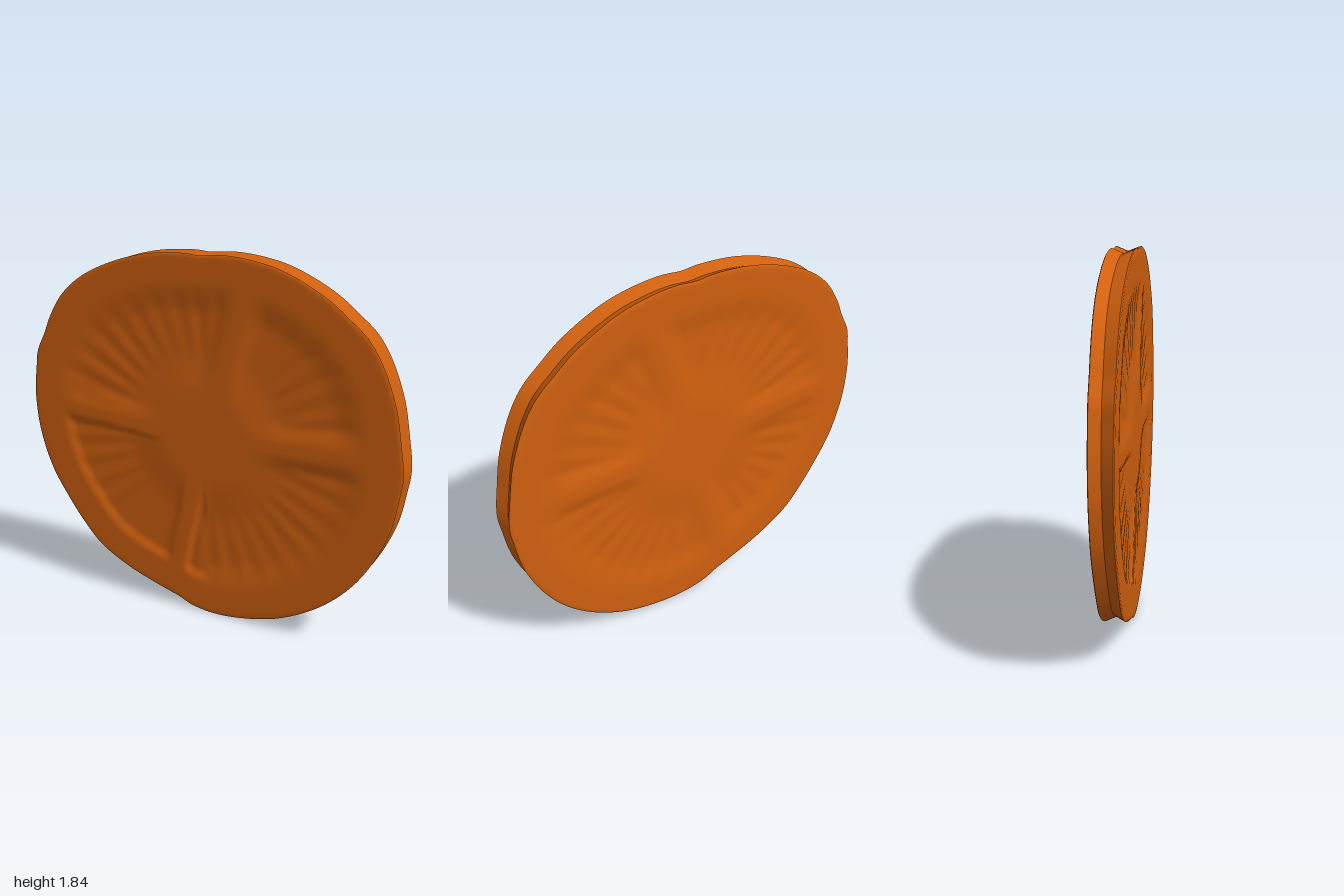
import * as THREE from 'three';

// Outline of the slice, counter-clockwise from the bottom
const OUTLINE = [
  [0.05, 0.003], [0.2, 0.015], [0.4, 0.065], [0.6, 0.17], [0.75, 0.3], [0.86, 0.45], [0.95, 0.65],
  [0.985, 0.82], [0.998, 0.93], [0.975, 1.1], [0.945, 1.25], [0.88, 1.42], [0.81, 1.53], [0.72, 1.61],
  [0.6, 1.7], [0.4, 1.795], [0.25, 1.83], [0.1, 1.842], [-0.02, 1.832], [-0.1, 1.837], [-0.3, 1.82],
  [-0.5, 1.765], [-0.68, 1.68], [-0.8, 1.58], [-0.88, 1.46], [-0.92, 1.37], [-0.97, 1.27],
  [-0.985, 1.18], [-1.0, 1.05], [-0.99, 0.88], [-0.96, 0.75], [-0.91, 0.62], [-0.83, 0.49],
  [-0.75, 0.38], [-0.63, 0.25], [-0.45, 0.15], [-0.25, 0.08], [-0.15, 0.05], [-0.08, 0.02],
];
const CENTRE = [0, 0.95];
const WALLS = [2, 74, 177, 257].map(THREE.MathUtils.degToRad); // walls between the chambers
const SEGMENTS = 200;
const RINGS = 48;
const smooth = THREE.MathUtils.smoothstep;

// Skin a series of closed cross-sections
function loft(rings) {
  const n = rings[0].length;
  const index = [];
  for (let k = 0; k < rings.length - 1; k++) {
    for (let i = 0; i < n; i++) {
      const j = (i + 1) % n;
      const a = k * n + i, b = k * n + j, c = a + n, d = b + n;
      index.push(a, b, d, a, d, c);
    }
  }
  const geometry = new THREE.BufferGeometry();
  geometry.setAttribute('position', new THREE.Float32BufferAttribute(rings.flat(2), 3));
  geometry.setIndex(index);
  geometry.computeVertexNormals();
  return geometry;
}

// Height of the flat cut surfaces, slightly tilted
const faceZ = (x, y, side) => (side > 0
  ? 0.06 + 0.005 * x + 0.008 * (y - 0.92)
  : -0.061 - 0.006 * x + 0.001 * (y - 0.92));

// Depth of the shallow seed chambers between the walls
function chamberDepth(x, y, s, side) {
  const dx = x - CENTRE[0], dy = y - CENTRE[1];
  const r = Math.hypot(dx, dy);
  const angle = Math.atan2(dy, dx);
  let wall = 1;
  for (const w of WALLS) {
    const away = Math.cos(angle - w);
    if (away > 0) wall = Math.min(wall, r * Math.abs(Math.sin(angle - w)));
  }
  const crisp = side > 0 && dx < 0 && dy < 0; // the front lower chamber has sharper edges
  const across = crisp ? smooth(wall, 0.035, 0.075) : smooth(wall, 0.02, 0.13);
  const outer = crisp ? 1 - smooth(s, 0.77, 0.82) : 1 - smooth(s, 0.68, 0.86);
  const inside = across * outer * smooth(r, 0.2, 0.45);
  const seeds = 0.002 * Math.sin(angle * 36) * smooth(r, 0.35, 0.6);
  return inside * (0.015 + seeds);
}

export function createModel() {
  const group = new THREE.Group();
  group.name = 'slice';
  const flesh = new THREE.MeshStandardMaterial({ color: 0xd0600f });
  flesh.name = 'orange flesh';

  const curve = new THREE.CatmullRomCurve3(OUTLINE.map(([x, y]) => new THREE.Vector3(x, y, 0)), true);
  const edge = curve.getPoints(SEGMENTS).slice(0, SEGMENTS);

  // One scaled copy of the outline, with z given by a rule
  const ring = (s, z) => edge.map((p) => {
    const x = CENTRE[0] + (p.x - CENTRE[0]) * s;
    const y = CENTRE[1] + (p.y - CENTRE[1]) * s;
    return [x, y, z(x, y)];
  });
  const add = (name, rings) => {
    const mesh = new THREE.Mesh(loft(rings), flesh);
    mesh.name = name;
    group.add(mesh);
  };

  // Cut faces with chambers and a softly rounded border
  const rimZ = (side) => (x, y) => faceZ(x, y, side) - side * 0.005;
  for (const side of [1, -1]) {
    const rings = [ring(1, rimZ(side))];
    rings.push(ring(0.994, (x, y) => faceZ(x, y, side) - side * 0.0015));
    for (let k = RINGS; k >= 0; k--) {
      const s = Math.max(0.0005, 0.982 * k / RINGS);
      rings.push(ring(s, (x, y) => faceZ(x, y, side) - side * chamberDepth(x, y, s, side)));
    }
    if (side < 0) rings.reverse();
    add(side > 0 ? 'frontFace' : 'backFace', rings);
  }

  // Skin around the edge, pinched into a V groove
  const groove = ring(0.973, () => 0);
  add('backRim', [ring(1, rimZ(-1)), groove]);
  add('frontRim', [groove, ring(1, rimZ(1))]);

  return group;
}
